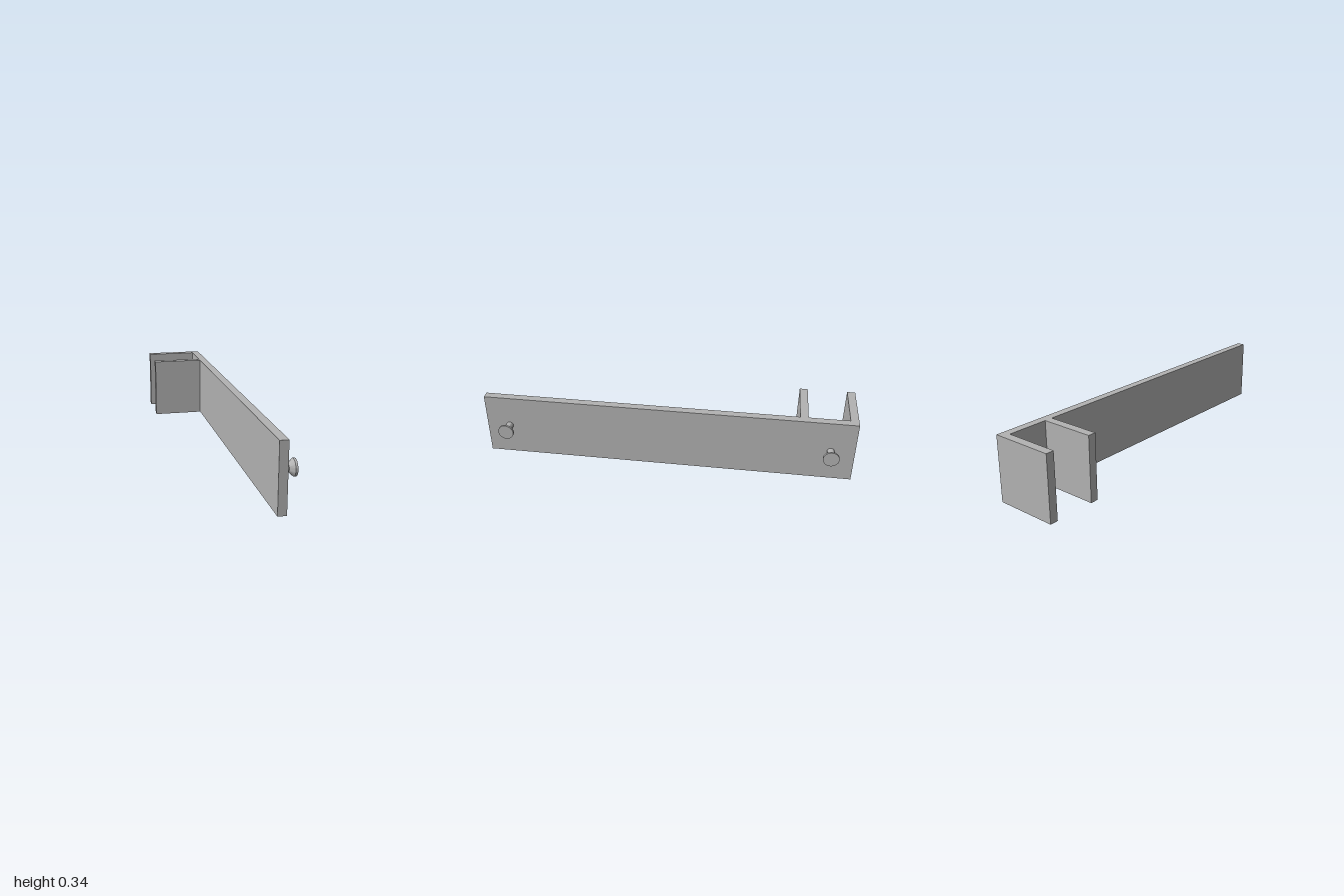
import * as THREE from 'three';
import { toCreasedNormals } from 'three/addons/utils/BufferGeometryUtils.js';

const HEIGHT = 0.345;

export function createModel() {
  const group = new THREE.Group();
  const grey = new THREE.MeshStandardMaterial({ color: 0xb3b3b3 });
  grey.name = 'grey';

  // Bracket: long plate with two clamp arms, one plan outline [x, z] extruded upwards
  const plan = [
    [0.128, 1], [0.128, -1], [-0.204, -1], [-0.204, -0.957], [0.085, -0.957],
    [0.085, -0.743], [-0.204, -0.743], [-0.204, -0.7], [0.085, -0.7], [0.085, 1],
  ];
  const shape = new THREE.Shape(plan.map(([x, z]) => new THREE.Vector2(x, -z)));
  const bracketGeometry = new THREE.ExtrudeGeometry(shape, { depth: HEIGHT, bevelEnabled: false });
  bracketGeometry.rotateX(-Math.PI / 2);
  const bracket = new THREE.Mesh(bracketGeometry, grey);
  bracket.name = 'bracket';
  group.add(bracket);

  // Pegs: thin stem flaring to a flat round head, pointing to +x
  const profile = [
    [0, 0], [0.0195, 0], [0.0195, 0.04], [0.042, 0.063], [0.042, 0.074], [0, 0.074],
  ].map(([r, y]) => new THREE.Vector2(r, y));
  const pegGeometry = toCreasedNormals(new THREE.LatheGeometry(profile, 40), 0.5);
  pegGeometry.rotateZ(-Math.PI / 2);
  for (const [name, z] of [['frontPeg', 0.874], ['backPeg', -0.874]]) {
    const peg = new THREE.Mesh(pegGeometry, grey);
    peg.name = name;
    peg.position.set(0.128, HEIGHT / 2, z);
    group.add(peg);
  }

  return group;
}
